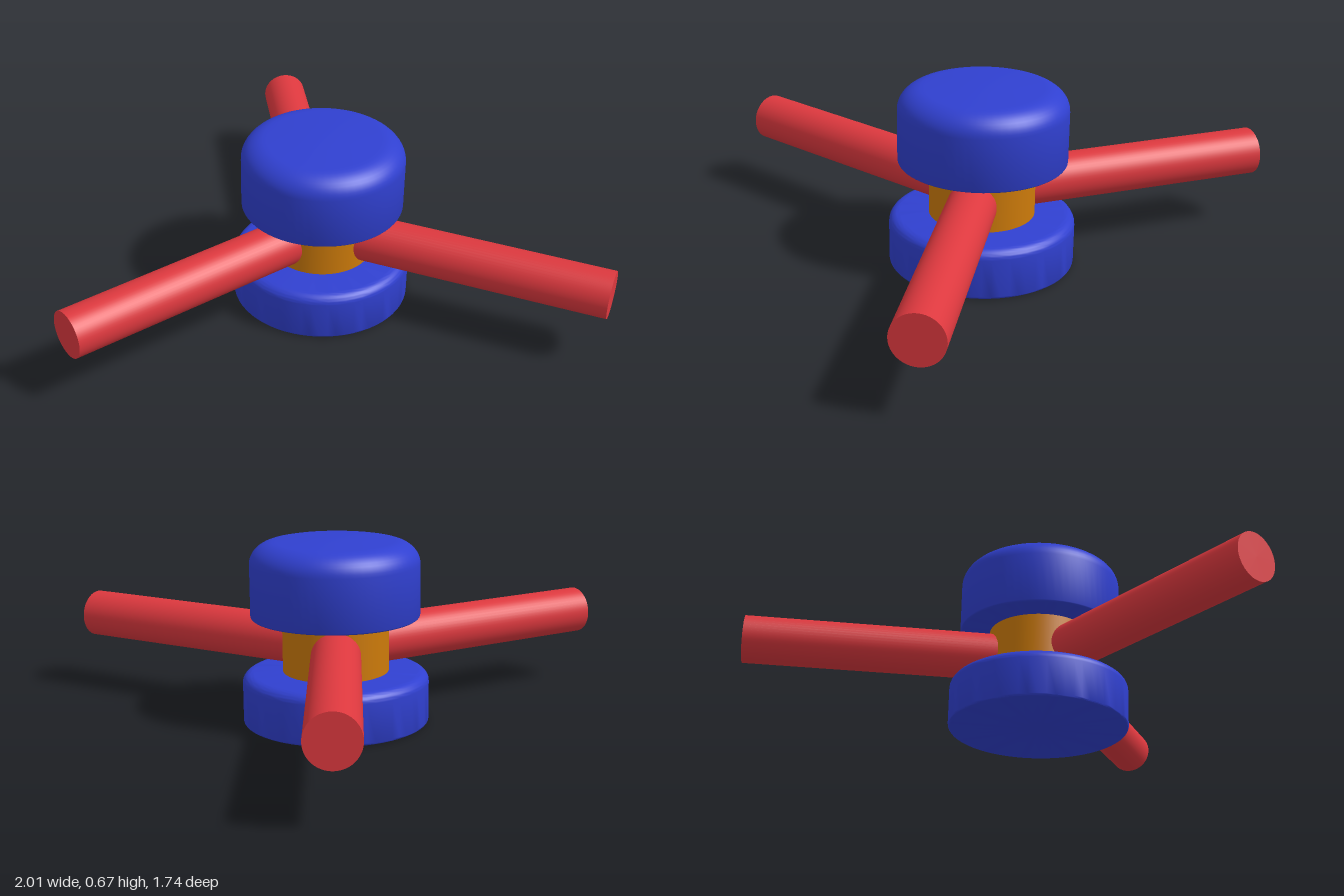
import * as THREE from 'three';
import { toCreasedNormals } from 'three/addons/utils/BufferGeometryUtils.js';

const BLUE = 0x3040d0, ORANGE = 0xcc7a0a, RED = 0xdc383e;
const CENTRE_Z = -0.245;

function part(name, geometry, color) {
  const mesh = new THREE.Mesh(geometry, new THREE.MeshStandardMaterial({ color }));
  mesh.name = name;
  return mesh;
}

// Turned disc: small bevel below, elliptical shoulder above, slightly domed top
function roundedDisc(radius, bottom, top, bevel, shoulderW, shoulderH, dome) {
  const points = [new THREE.Vector2(0, bottom), new THREE.Vector2(radius - bevel, bottom)];
  for (let i = 1; i <= 4; i++) {
    const a = (i / 4) * Math.PI / 2;
    points.push(new THREE.Vector2(radius - bevel + bevel * Math.sin(a), bottom + bevel * (1 - Math.cos(a))));
  }
  const rim = top - dome;
  for (let i = 0; i <= 10; i++) {
    const a = (i / 10) * Math.PI / 2;
    points.push(new THREE.Vector2(
      radius - shoulderW + shoulderW * Math.cos(a),
      rim - shoulderH + shoulderH * Math.sin(a)));
  }
  points.push(new THREE.Vector2((radius - shoulderW) / 2, top - dome * 0.25), new THREE.Vector2(0, top));
  return toCreasedNormals(new THREE.LatheGeometry(points, 64), 0.6);
}

export function createModel() {
  const model = new THREE.Group();
  model.name = 'threeArmHandle';

  // Base, hub and cap share one vertical axis
  const body = new THREE.Group();
  body.name = 'body';
  body.position.set(-0.003, 0, CENTRE_Z);
  const hub = part('hub', new THREE.CylinderGeometry(0.192, 0.192, 0.24, 64), ORANGE);
  hub.position.y = 0.288;
  body.add(
    part('base', roundedDisc(0.337, 0, 0.19, 0.01, 0.04, 0.035, 0.006), BLUE),
    hub,
    part('cap', roundedDisc(0.305, 0.385, 0.67, 0.01, 0.095, 0.08, 0.01), BLUE));
  model.add(body);

  // Three round arms, 120 degrees apart, running out from the hub
  const inner = 0.1, outer = 1.107;
  ['frontArm', 'leftArm', 'rightArm'].forEach((name, i) => {
    const geometry = new THREE.CylinderGeometry(0.088, 0.088, outer - inner, 48);
    geometry.rotateX(Math.PI / 2).translate(0, 0, (inner + outer) / 2);
    const arm = part(name, geometry, RED);
    arm.position.set(0.003, 0.278, -0.239);
    arm.rotation.y = i * Math.PI * 2 / 3;
    model.add(arm);
  });
  return model;
}
